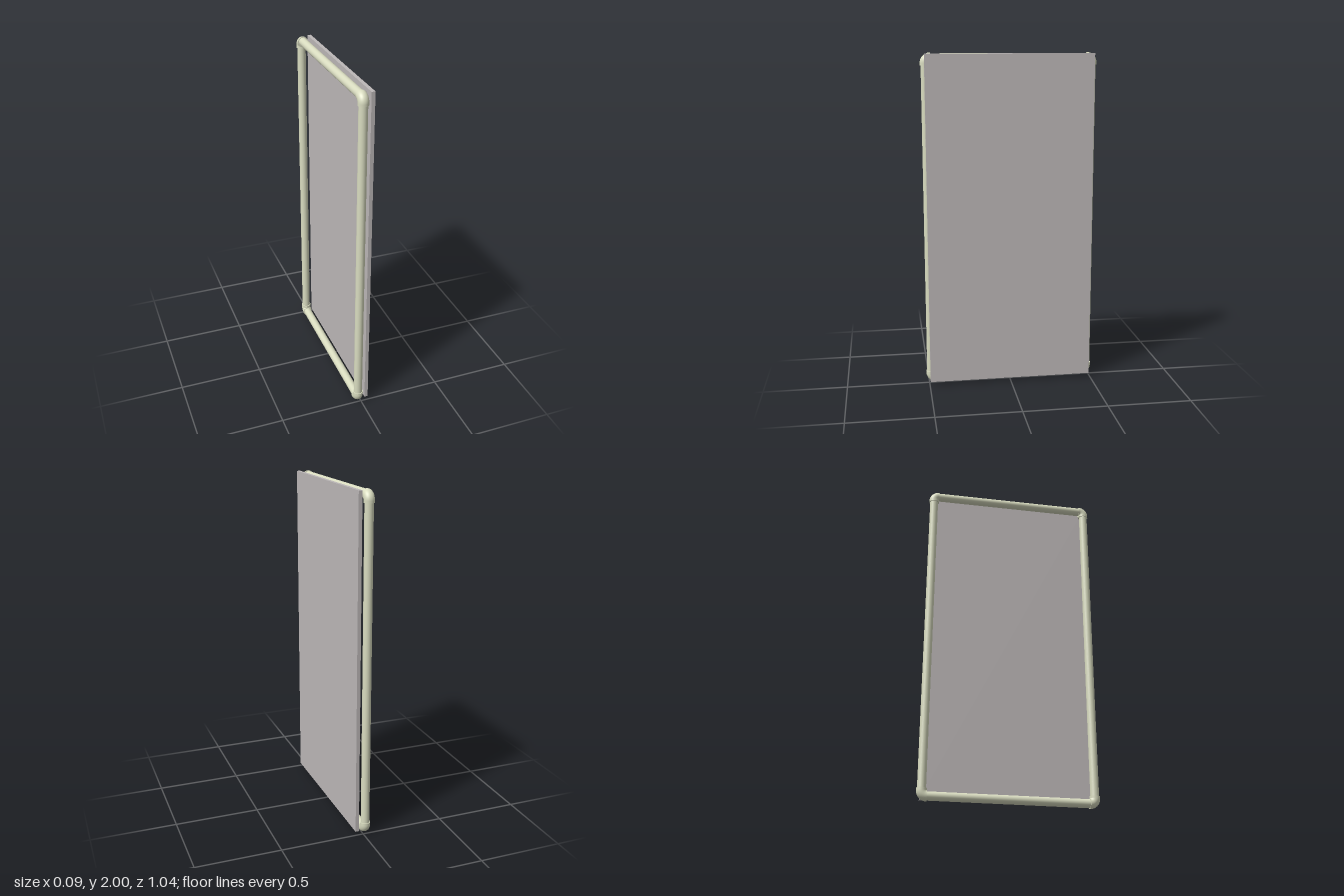
import * as THREE from 'three';

const PIPE_X = -0.016;   // plane of the pipe frame
const PIPE_R = 0.025;
const ELBOW_R = 0.03;    // also the bend radius of the elbow
const RAIL_Z = 0.488;    // axis of the uprights
const LOW = 0.03, HIGH = 1.97; // axes of the bottom and top rails
const COLLAR = 0.012;    // straight part of the elbow on the upright

const paint = (color) => new THREE.MeshStandardMaterial({ color });

export function createModel() {
  const model = new THREE.Group();
  const pipeMat = paint(0xd9dcc0);
  const panelMat = paint(0xbdb8b8);

  const add = (parent, name, geometry, material, x, y, z) => {
    const mesh = new THREE.Mesh(geometry, material);
    mesh.name = name;
    mesh.position.set(x, y, z);
    parent.add(mesh);
    return mesh;
  };

  // Flat panel standing beside the frame
  add(model, 'panel', new THREE.BoxGeometry(0.021, 1.975, 0.99), panelMat, 0.0355, 1.0075, 0);

  // Uprights and rails, running into the elbows
  const upright = new THREE.CylinderGeometry(PIPE_R, PIPE_R, HIGH - LOW - 0.06, 32);
  const rail = new THREE.CylinderGeometry(PIPE_R, PIPE_R, 2 * RAIL_Z - 0.06, 32).rotateX(Math.PI / 2);
  for (const s of [1, -1]) {
    add(model, s > 0 ? 'frontUpright' : 'backUpright', upright, pipeMat, PIPE_X, 1, s * RAIL_Z);
    add(model, s > 0 ? 'topRail' : 'bottomRail', rail, pipeMat, PIPE_X, s > 0 ? HIGH : LOW, 0);
  }

  // Corner elbow: quarter bend around the origin, collar below, disc closing the rail end
  const bend = new THREE.TorusGeometry(ELBOW_R, ELBOW_R, 32, 16, Math.PI / 2);
  const collar = new THREE.CylinderGeometry(ELBOW_R, ELBOW_R, COLLAR, 32);
  const endDisc = new THREE.CircleGeometry(ELBOW_R, 32).rotateY(-Math.PI / 2);
  const corners = [
    ['topFrontElbow', 1, 1], ['topBackElbow', 1, -1],
    ['bottomFrontElbow', -1, 1], ['bottomBackElbow', -1, -1],
  ];
  for (const [name, up, front] of corners) {
    const elbow = new THREE.Group();
    elbow.name = name;
    add(elbow, 'bend', bend, pipeMat, 0, 0, 0);
    add(elbow, 'collar', collar, pipeMat, ELBOW_R, -COLLAR / 2, 0);
    add(elbow, 'endDisc', endDisc, pipeMat, 0, ELBOW_R, 0);
    // turn local x towards the front or back, and mirror for the bottom corners
    elbow.rotation.y = -front * Math.PI / 2;
    elbow.scale.y = up;
    elbow.position.set(PIPE_X, up > 0 ? HIGH - ELBOW_R : LOW + ELBOW_R, front * (RAIL_Z - ELBOW_R));
    model.add(elbow);
  }
  return model;
}
